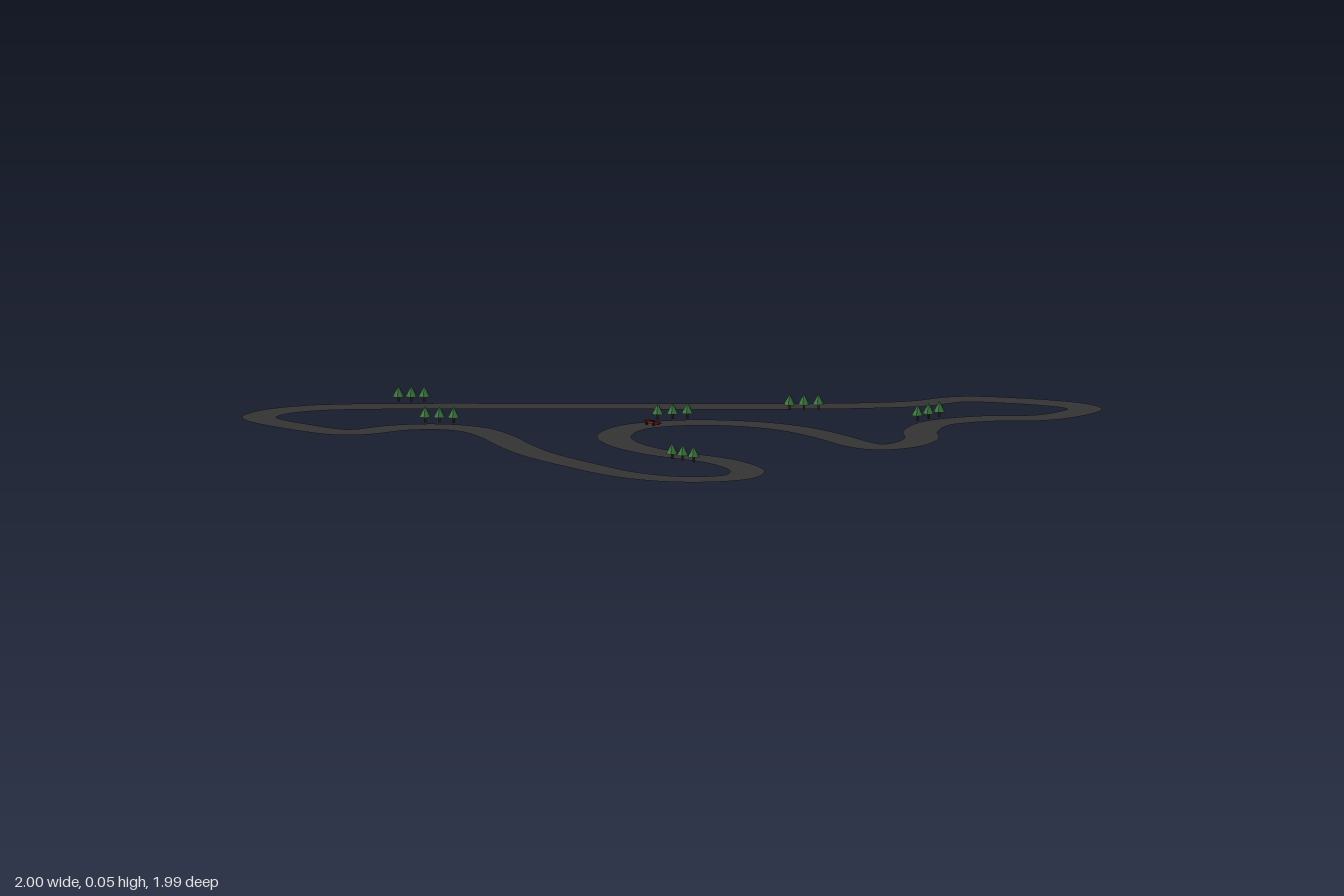
import * as THREE from 'three';

const paint = (color, extra = {}) => new THREE.MeshStandardMaterial({ color, ...extra });
const asphalt = paint(0x333333, { side: THREE.DoubleSide });
const leaf = paint(0x2f6b35, { flatShading: true });
const bark = paint(0x3a2a1c, { flatShading: true });
const red = paint(0xa01a14);
const black = paint(0x151515);

function part(name, geometry, material, x = 0, y = 0, z = 0) {
  const mesh = new THREE.Mesh(geometry, material);
  mesh.name = name;
  mesh.position.set(x, y, z);
  return mesh;
}

// Centre line of the circuit as x, z pairs, anticlockwise seen from above
const LINE = [
  [-0.947, -0.746], [-0.941, -0.55], [-0.893, -0.5], [-0.759, -0.463], [-0.658, -0.377],
  [-0.629, -0.265], [-0.674, -0.131], [-0.759, 0.019], [-0.84, 0.19], [-0.904, 0.43],
  [-0.939, 0.644], [-0.909, 0.8], [-0.824, 0.901], [-0.733, 0.933], [-0.631, 0.874],
  [-0.567, 0.735], [-0.556, 0.644], [-0.567, 0.457], [-0.529, 0.286], [-0.433, 0.147],
  [-0.262, 0.08], [-0.091, 0.152], [0.011, 0.302], [0.043, 0.452], [0.016, 0.634],
  [-0.043, 0.832], [-0.037, 0.901], [0.043, 0.933], [0.166, 0.896], [0.273, 0.799],
  [0.422, 0.741], [0.578, 0.799], [0.695, 0.912], [0.797, 0.939], [0.914, 0.917],
  [0.941, 0.858], [0.92, 0.735], [0.829, 0.537], [0.78, 0.494], [0.647, 0.457],
  [0.503, 0.35], [0.353, 0.2], [-0.064, -0.275], [-0.439, -0.703], [-0.594, -0.858],
  [-0.684, -0.917], [-0.797, -0.946], [-0.893, -0.922], [-0.93, -0.864],
];

// Flat ribbon of constant width swept along the closed centre line
function trackGeometry(width, steps) {
  const curve = new THREE.CatmullRomCurve3(
    LINE.map(([x, z]) => new THREE.Vector3(x, 0, z)), true, 'centripetal');
  curve.arcLengthDivisions = 1000;
  const pos = [], normal = [], index = [];
  for (let i = 0; i <= steps; i++) {
    const u = (i % steps) / steps;
    const p = curve.getPointAt(u), t = curve.getTangentAt(u);
    for (const s of [-0.5, 0.5]) {
      pos.push(p.x + t.z * width * s, 0, p.z - t.x * width * s);
      normal.push(0, 1, 0);
    }
    if (i < steps) {
      const a = 2 * i;
      index.push(a, a + 2, a + 1, a + 1, a + 2, a + 3);
    }
  }
  // Wind every triangle so that it faces up
  for (let k = 0; k < index.length; k += 3) {
    const [a, b, c] = index.slice(k, k + 3).map((n) => [pos[3 * n], pos[3 * n + 2]]);
    const up = (b[1] - a[1]) * (c[0] - a[0]) - (b[0] - a[0]) * (c[1] - a[1]);
    if (up < 0) [index[k + 1], index[k + 2]] = [index[k + 2], index[k + 1]];
  }
  const g = new THREE.BufferGeometry();
  g.setAttribute('position', new THREE.Float32BufferAttribute(pos, 3));
  g.setAttribute('normal', new THREE.Float32BufferAttribute(normal, 3));
  g.setIndex(index);
  return g;
}

// Low-poly fir: thin trunk and a six-sided cone
const trunkGeometry = new THREE.CylinderGeometry(0.004, 0.004, 0.02, 6);
const crownGeometry = new THREE.ConeGeometry(0.02, 0.034, 6);
function makeTree(x, z) {
  const tree = new THREE.Group();
  tree.name = 'tree';
  tree.position.set(x, 0, z);
  tree.add(part('trunk', trunkGeometry, bark, 0, 0.012, 0));
  tree.add(part('crown', crownGeometry, leaf, 0, 0.036, 0));
  return tree;
}

// Tiny open-wheel racing car
function makeCar() {
  const car = new THREE.Group();
  car.name = 'car';
  const box = (w, h, d) => new THREE.BoxGeometry(w, h, d);
  car.add(part('body', box(0.016, 0.006, 0.046), red, 0, 0.008, 0));
  car.add(part('cockpit', box(0.01, 0.004, 0.014), black, 0, 0.013, 0));
  car.add(part('frontWing', box(0.026, 0.003, 0.006), red, 0, 0.007, 0.023));
  car.add(part('rearWing', box(0.024, 0.003, 0.006), red, 0, 0.013, -0.023));
  const wheel = new THREE.CylinderGeometry(0.005, 0.005, 0.005, 12).rotateZ(Math.PI / 2);
  for (const x of [-0.011, 0.011])
    for (const z of [-0.015, 0.014]) car.add(part('wheel', wheel, black, x, 0.006, z));
  return car;
}

export function createModel() {
  const model = new THREE.Group();
  model.name = 'raceCircuit';
  model.add(part('track', trackGeometry(0.107, 500), asphalt));

  // Rows of three trees: middle tree and the step to its neighbours
  const rows = [
    [-0.38, -0.741, 0.027, 0.03], [-0.61, -0.422, 0.025, 0.037],
    [-0.08, 0.08, 0.037, 0.029], [0.318, 0.275, 0.032, 0.032],
    [-0.636, 0.612, 0, 0.045], [0.449, 0.677, 0.048, 0.003],
  ];
  const trees = new THREE.Group();
  trees.name = 'trees';
  for (const [x, z, dx, dz] of rows)
    for (const k of [-1, 0, 1]) trees.add(makeTree(x + k * dx, z + k * dz));
  model.add(trees);

  const car = makeCar();
  car.position.set(-0.198, 0, 0.1);
  model.add(car);
  return model;
}
